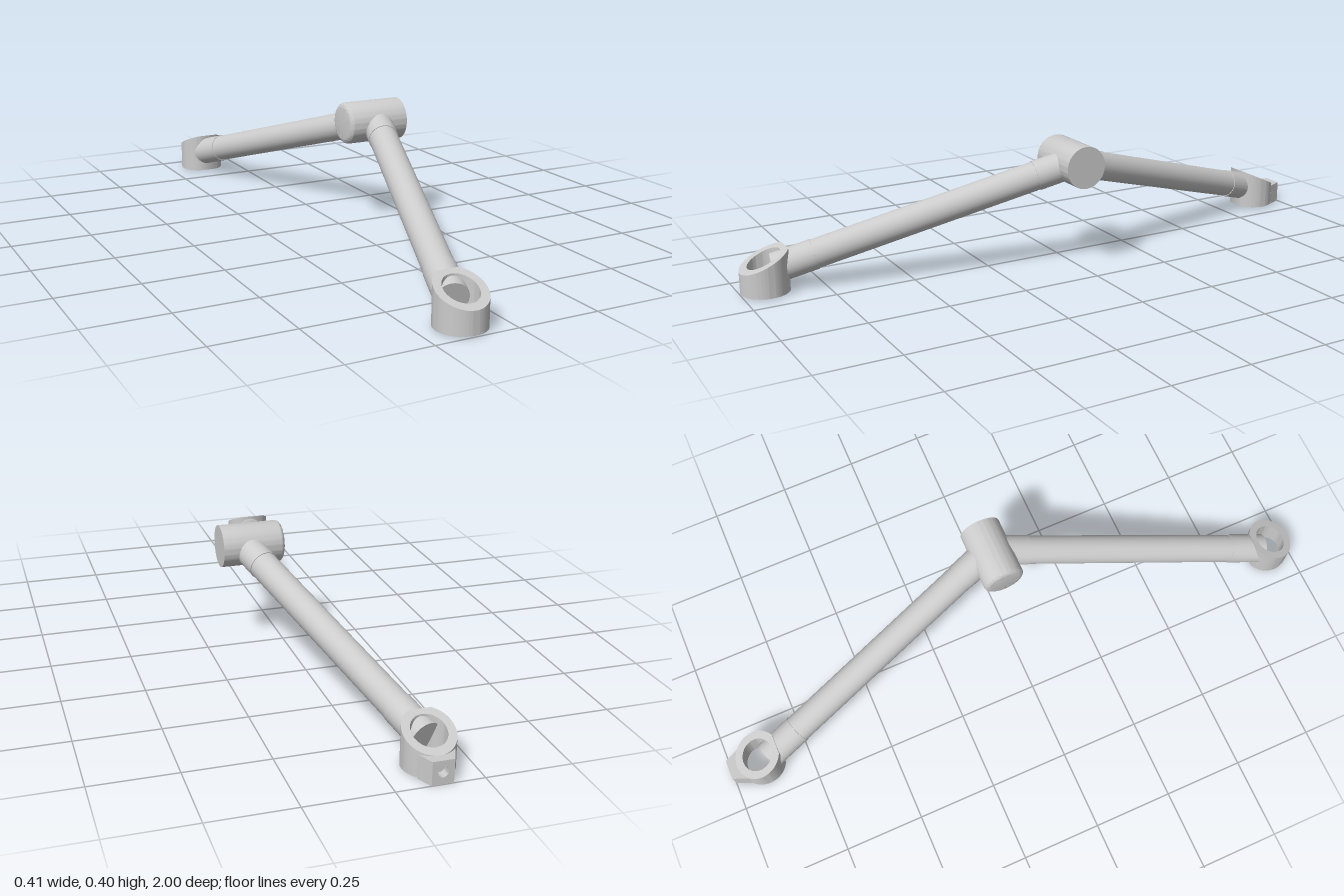
import * as THREE from 'three';
import { toCreasedNormals } from 'three/addons/utils/BufferGeometryUtils.js';

const material = new THREE.MeshStandardMaterial({ color: 0xcccccc });
const MID_Z = 0.013; // plane of symmetry between the two arms

function part(name, geometry) {
  const mesh = new THREE.Mesh(geometry, material);
  mesh.name = name;
  return mesh;
}

// Solid rod between two points
function rod(name, from, to, radius) {
  const mesh = part(name, new THREE.CylinderGeometry(radius, radius, from.distanceTo(to), 48));
  mesh.position.copy(from).lerp(to, 0.5);
  mesh.quaternion.setFromUnitVectors(new THREE.Vector3(0, 1, 0), to.clone().sub(from).normalize());
  return mesh;
}

// Cross hub along x with one rounded end
function makeHub() {
  const r = 0.066, f = 0.016, length = 0.198;
  const profile = [new THREE.Vector2(0, 0)];
  for (let i = 0; i <= 6; i++) {
    const a = (i / 6) * Math.PI / 2;
    profile.push(new THREE.Vector2(r - f + f * Math.sin(a), f - f * Math.cos(a)));
  }
  profile.push(new THREE.Vector2(r, length), new THREE.Vector2(0, length));
  const geometry = toCreasedNormals(new THREE.LatheGeometry(profile, 64), 0.6);
  geometry.rotateZ(-Math.PI / 2);
  const hub = part('hub', geometry);
  hub.position.set(0.005, 0.335, MID_Z);
  return hub;
}

// Ring with a sloped top and a small flat on its inner side; local +z points outward
function ringGeometry() {
  const r = 0.074, flat = 0.067, t = Math.acos(flat / r);
  const shape = new THREE.Shape();
  shape.absarc(0, 0, r, Math.PI / 2 + t, Math.PI * 2.5 - t, false);
  shape.closePath();
  const hole = new THREE.Path();
  hole.absarc(0, 0, 0.05, 0, Math.PI * 2, true);
  shape.holes.push(hole);
  const geometry = new THREE.ExtrudeGeometry(shape, { depth: 1, bevelEnabled: false, curveSegments: 48 });
  geometry.rotateX(-Math.PI / 2);
  const p = geometry.attributes.position;
  for (let i = 0; i < p.count; i++) {
    p.setY(i, p.getY(i) > 0.5 ? 0.104 - 0.461 * p.getZ(i) : 0.003);
  }
  return toCreasedNormals(geometry, 0.6);
}

// Tapered lug with a bolt hole along its length
function lugGeometry() {
  const w = 0.052, start = 0.053, end = 0.101;
  const shape = new THREE.Shape();
  shape.moveTo(-w, 0).lineTo(w, 0).lineTo(w, 0.07).lineTo(-w, 0.07).closePath();
  const hole = new THREE.Path();
  hole.absarc(0, 0.036, 0.015, 0, Math.PI * 2, true);
  shape.holes.push(hole);
  const geometry = new THREE.ExtrudeGeometry(shape, { depth: end - start, bevelEnabled: false, curveSegments: 24 });
  const p = geometry.attributes.position;
  for (let i = 0; i < p.count; i++) {
    // narrow the outer end, keeping the hole straight
    if (p.getZ(i) > 0.01 && Math.abs(p.getX(i)) > 0.04) p.setX(i, Math.sign(p.getX(i)) * 0.031);
  }
  geometry.translate(0, 0, start);
  return toCreasedNormals(geometry, 0.6);
}

// One arm with its sockets and end ring; side is +1 for front, -1 for back
function makeArm(side) {
  const arm = new THREE.Group();
  arm.name = side > 0 ? 'frontArm' : 'backArm';
  const inner = new THREE.Vector3(0.125, 0.335, MID_Z);
  const outer = new THREE.Vector3(-0.135, 0.067, MID_Z + side * 0.879);
  const at = (k) => inner.clone().lerp(outer, k);
  arm.add(
    rod('hubSocket', at(0), at(0.13), 0.047),
    rod('tube', at(0.12), at(0.88), 0.045),
    rod('ringSocket', at(0.87), at(1), 0.047),
  );

  const clamp = new THREE.Group();
  clamp.name = 'endClamp';
  clamp.position.set(-0.13, 0, MID_Z + side * 0.912);
  if (side < 0) clamp.rotation.y = Math.PI;
  clamp.add(part('ring', ringGeometry()));
  if (side < 0) clamp.add(part('boltLug', lugGeometry()));
  arm.add(clamp);
  return arm;
}

export function createModel() {
  const model = new THREE.Group();
  model.name = 'hingedStrut';
  model.add(makeHub(), makeArm(1), makeArm(-1));
  return model;
}
